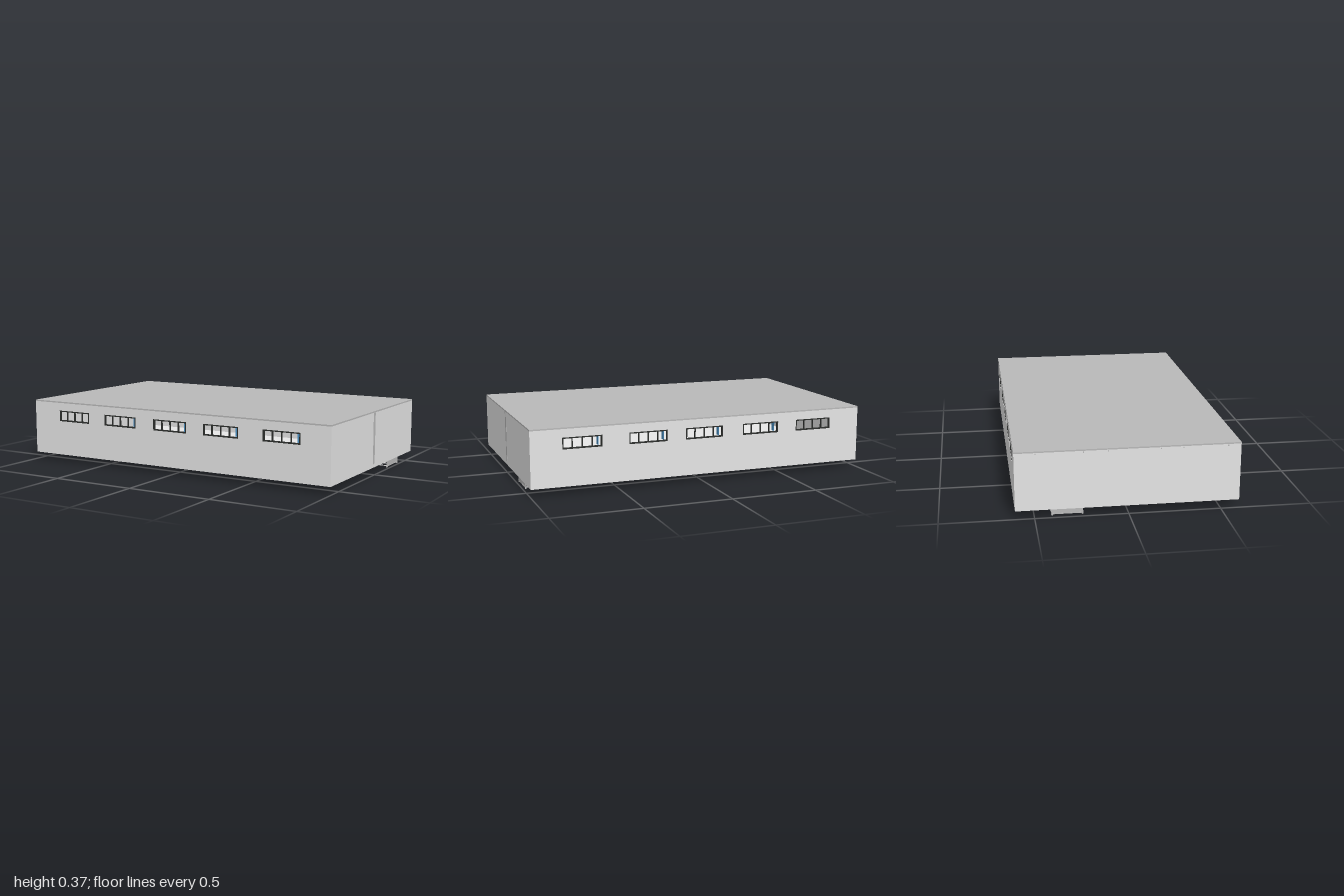
import * as THREE from 'three';

const mat = (name, color) => {
  const m = new THREE.MeshStandardMaterial({ color });
  m.name = name;
  return m;
};

export function createModel() {
  const model = new THREE.Group();
  model.name = 'longHall';
  const wall = mat('wallGrey', 0xe5e5e5);
  const roof = mat('roofGrey', 0xb9b9b9);
  const light = mat('floorWhite', 0xffffff);
  const dark = mat('frameDark', 0x2c2e2c);
  const blue = mat('sashBlue', 0x4a90c4);

  // Box given by its lower and upper corners
  const box = (parent, name, material, x0, x1, y0, y1, z0, z1) => {
    const m = new THREE.Mesh(new THREE.BoxGeometry(x1 - x0, y1 - y0, z1 - z0), material);
    m.position.set((x0 + x1) / 2, (y0 + y1) / 2, (z0 + z1) / 2);
    m.name = name;
    parent.add(m);
  };

  const X0 = -0.995, X1 = 0.998, Y0 = 0.044, Y1 = 0.362, Z = 0.602, T = 0.012;
  const windows = [-0.695, -0.355, -0.005, 0.33, 0.708];
  const W = 0.225, B = 0.25, H = 0.315;

  // Long walls with window openings
  const shape = new THREE.Shape();
  shape.moveTo(X0, Y0).lineTo(X1, Y0).lineTo(X1, Y1).lineTo(X0, Y1).closePath();
  for (const c of windows) {
    const hole = new THREE.Path();
    hole.moveTo(c - W / 2, B).lineTo(c - W / 2, H).lineTo(c + W / 2, H).lineTo(c + W / 2, B).closePath();
    shape.holes.push(hole);
  }
  const longWall = new THREE.ExtrudeGeometry(shape, { depth: T, bevelEnabled: false });
  for (const [name, z] of [['frontWall', Z - T], ['backWall', -Z]]) {
    const m = new THREE.Mesh(longWall, wall);
    m.position.z = z;
    m.name = name;
    model.add(m);
  }

  // End walls, floor and roof
  box(model, 'leftWall', wall, X1 - T, X1, Y0, Y1, -Z + T, Z - T);
  box(model, 'rightWall', wall, X0, X0 + T, Y0, Y1, -Z + T, Z - T);
  box(model, 'floorSlab', wall, X0 + T, X1 - T, Y0, Y0 + 0.006, -Z + T, Z - T);
  box(model, 'floorFinish', light, X0 + T, X1 - T, Y0 + 0.006, Y0 + 0.01, -Z + T, Z - T);
  box(model, 'roofSlab', roof, X0, X1, Y1, 0.37, -Z, Z);
  box(model, 'ceilingBeam', roof, X0 + T, X1 - T, 0.282, 0.29, -0.005, 0.005);

  // Window frames and mullions, with narrow sashes standing open inwards
  for (const s of [1, -1]) {
    windows.forEach((c, i) => {
      const g = new THREE.Group();
      g.name = s > 0 ? 'frontWindow' : 'backWindow';
      g.position.set(c, 0, s * (Z - 0.007));
      if (s < 0) g.rotation.y = Math.PI;
      const h = W / 2, f = 0.007, d = 0.006;
      box(g, 'frameSill', dark, -h, h, B, B + f, -d, d);
      box(g, 'frameHead', dark, -h, h, H - f, H, -d, d);
      box(g, 'frameSide', dark, -h, -h + f, B + f, H - f, -d, d);
      box(g, 'frameSide', dark, h - f, h, B + f, H - f, -d, d);
      for (const k of [-0.25, 0, 0.25])
        box(g, 'mullion', dark, k * W - 0.0025, k * W + 0.0025, B + f, H - f, -d + 0.001, d - 0.001);
      if (i > 0) box(g, 'openSash', blue, h - 0.022, h - 0.019, B + f, H - f, -0.035, -d);
      model.add(g);
    });
  }

  // Upright strip on the left end wall, tapered at its foot
  const strip = new THREE.Shape();
  strip.moveTo(-0.025, Y1).lineTo(-0.022, 0.08).lineTo(-0.019, 0.066).lineTo(-0.01, 0.062)
    .lineTo(-0.002, 0.066).lineTo(0.001, 0.08).lineTo(0.001, Y1).closePath();
  const plate = new THREE.Mesh(new THREE.ExtrudeGeometry(strip, { depth: 0.003, bevelEnabled: false }), roof);
  plate.rotation.y = Math.PI / 2;
  plate.position.x = X1 - 0.002;
  plate.name = 'wallStrip';
  model.add(plate);

  // Small eave brackets on the right end wall
  for (const z of [-0.49, -0.24, -0.11, 0.17, 0.29, 0.53])
    box(model, 'eaveBracket', roof, -1, X0, 0.353, 0.36, z - 0.003, z + 0.003);

  // Open support frames under the floor
  for (const [a, b] of [[0.815, 0.985], [-0.97, -0.8]]) {
    const g = new THREE.Group();
    g.name = 'supportFrame';
    const zb = -0.41, zf = -0.24;
    for (const x of [a, b - 0.006]) {
      box(g, 'sidePanel', roof, x, x + 0.006, 0.012, Y0, zb, zf);
      box(g, 'bottomRail', roof, x - 0.001, x + 0.007, 0.006, 0.012, zb, zf);
      for (const z of [zb, zf - 0.008]) box(g, 'foot', roof, x - 0.001, x + 0.007, 0, 0.006, z, z + 0.008);
    }
    for (const z of [zb, zf - 0.006])
      for (const y of [0.008, 0.022, 0.036])
        box(g, 'crossBar', wall, a + 0.006, b - 0.006, y, y + 0.004, z, z + 0.006);
    model.add(g);
  }
  return model;
}
